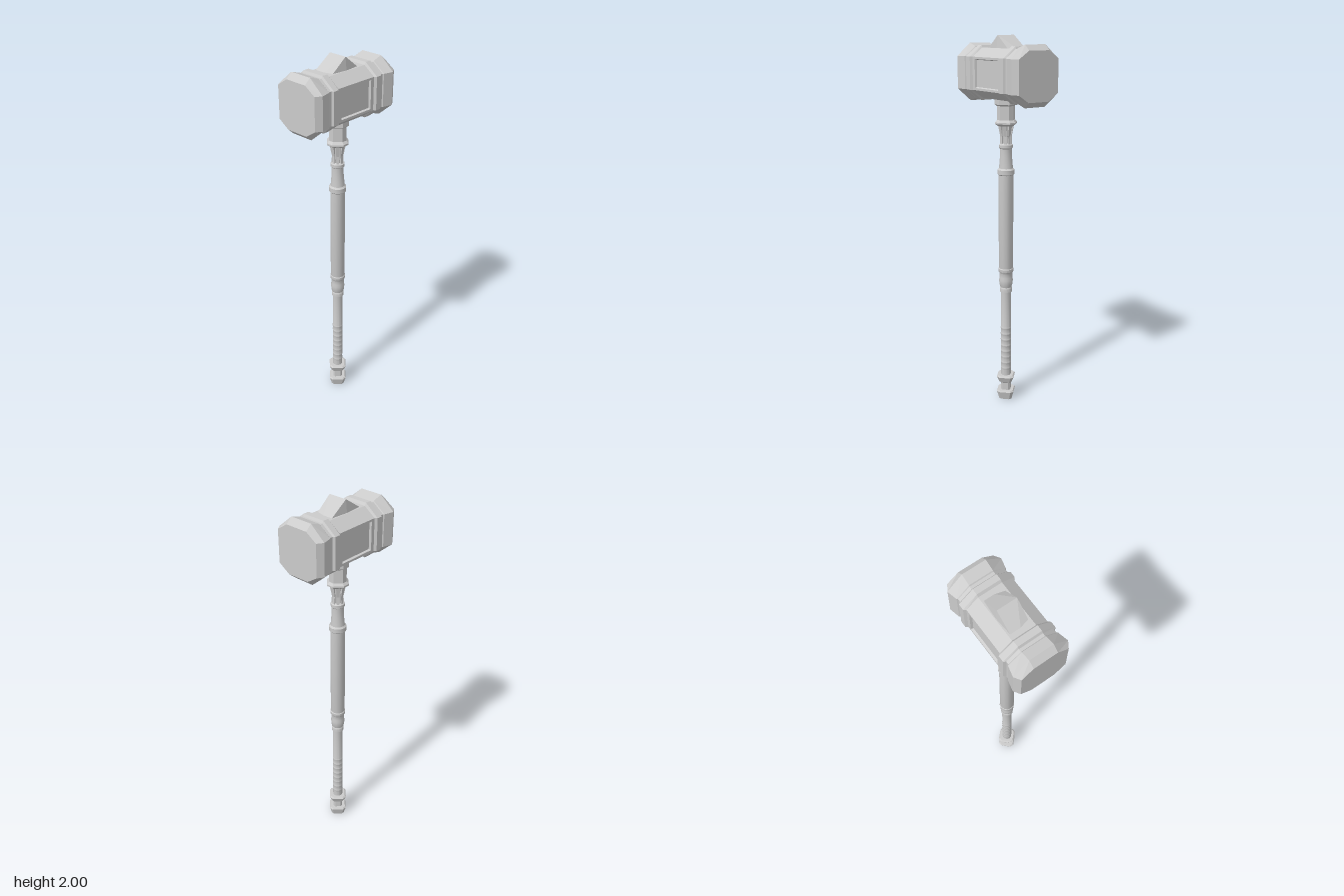
import * as THREE from 'three';
import { toCreasedNormals } from 'three/addons/utils/BufferGeometryUtils.js';
import { ConvexGeometry } from 'three/addons/geometries/ConvexGeometry.js';

const flat = new THREE.MeshStandardMaterial({ color: 0xcccccc, flatShading: true });
const smooth = new THREE.MeshStandardMaterial({ color: 0xcccccc });

// Octagon reaching w and h, with flats of half-length a (top) and b (sides)
const octagon = (w, h, a, b) => [
  [w, -b], [w, b], [a, h], [-a, h], [-w, b], [-w, -b], [-a, -h], [a, -h]];
const rect = (w, h) => [[w, -h], [w, h], [-w, h], [-w, -h]];

// Skin between matching outlines stacked along z; skip leaves sides open
function loft(sections, { skip = [], start = true, end = true } = {}) {
  const pos = [];
  const tri = (...p) => p.forEach(v => pos.push(...v));
  const rings = sections.map(([z, pts]) => pts.map(([x, y]) => [x, y, z]));
  const n = rings[0].length;
  for (let k = 0; k < rings.length - 1; k++) {
    for (let i = 0; i < n; i++) {
      if (skip.includes(i)) continue;
      const j = (i + 1) % n, a = rings[k], b = rings[k + 1];
      tri(a[i], a[j], b[j]);
      tri(a[i], b[j], b[i]);
    }
  }
  const first = rings[0], last = rings[rings.length - 1];
  for (let i = 1; i < n - 1; i++) {
    if (start) tri(first[0], first[i + 1], first[i]);
    if (end) tri(last[0], last[i], last[i + 1]);
  }
  const g = new THREE.BufferGeometry();
  g.setAttribute('position', new THREE.Float32BufferAttribute(pos, 3));
  g.computeVertexNormals();
  return g;
}

function add(parent, name, geometry, material = flat) {
  const mesh = new THREE.Mesh(geometry, material);
  mesh.name = name;
  parent.add(mesh);
  return mesh;
}

function buildHead() {
  const head = new THREE.Group();
  head.name = 'head';
  const ring = ([z, w, h]) => [z, octagon(w, h, 0.06, 0.082)];

  // Barrel, left open where the side panels sit
  add(head, 'barrel', loft([[-0.122, 0.121, 0.125], [0.122, 0.121, 0.125]].map(ring),
    { skip: [0, 4], start: false, end: false }));

  // Each end: raised band, groove and flared striking face
  const endProfile = [
    [0.119, 0.121, 0.125], [0.128, 0.132, 0.137], [0.158, 0.132, 0.137],
    [0.165, 0.121, 0.126], [0.18, 0.121, 0.126], [0.184, 0.126, 0.131],
    [0.235, 0.138, 0.147], [0.266, 0.118, 0.12]];
  for (const s of [1, -1]) {
    const end = add(head, s > 0 ? 'frontStrikingEnd' : 'backStrikingEnd',
      loft(endProfile.map(ring)));
    if (s < 0) end.rotation.y = Math.PI;

    // Framed panel sunk into the side
    const panel = add(head, s > 0 ? 'leftPanel' : 'rightPanel', loft([
      [0.121, rect(0.122, 0.082)], [0.121, rect(0.1, 0.071)],
      [0.11, rect(0.096, 0.067)]], { start: false }));
    panel.rotation.y = s * Math.PI / 2;
  }

  // Wedge crest on top
  const crest = [];
  for (const s of [1, -1]) {
    crest.push([s * 0.05, 0.1875, 0], [s * 0.057, 0.122, 0],
      [-0.05, 0.122, s * 0.097], [0, 0.122, s * 0.097], [0.048, 0.122, s * 0.084]);
  }
  add(head, 'crest', new ConvexGeometry(crest.map(p => new THREE.Vector3(...p))));
  head.position.y = 1.8125;
  return head;
}

function buildHandle() {
  const handle = new THREE.Group();
  handle.name = 'handle';
  const turned = (name, profile) => {
    const g = new THREE.LatheGeometry(profile.map(([r, y]) => new THREE.Vector2(r, y)), 12);
    return add(handle, name, toCreasedNormals(g, 0.6), smooth);
  };
  // Diamond-shaped pieces with cut corners, standing upright
  const faceted = (name, profile, cut) =>
    add(handle, name, loft(profile.map(([r, y]) => [y, octagon(r, r, r * cut, r * cut)]))
      .rotateX(-Math.PI / 2));

  // Lower grip with fine wrap ridges
  const grip = [[0, 0.13], [0.028, 0.13]];
  for (let y = 0.18; y < 0.43; y += 0.035) {
    grip.push([0.028, y], [0.0295, y + 0.004], [0.0295, y + 0.01], [0.028, y + 0.014]);
  }
  grip.push([0.028, 0.655]);
  turned('lowerGrip', grip);

  turned('middleCollar', [[0.026, 0.648], [0.034, 0.648], [0.034, 0.668], [0.031, 0.674],
    [0.036, 0.69], [0.038, 0.715], [0.035, 0.73], [0.035, 0.755], [0.041, 0.765],
    [0.041, 0.78], [0.037, 0.785]]);
  turned('upperGrip', [[0.037, 0.78], [0.039, 0.79], [0.039, 1.298]]);
  turned('upperRing', [[0.037, 1.295], [0.045, 1.302], [0.045, 1.325], [0.037, 1.333]]);
  turned('upperShaft', [[0.037, 1.33], [0.031, 1.4], [0.031, 1.435], [0.036, 1.44],
    [0.036, 1.455], [0.024, 1.465], [0.02, 1.48]]);

  // Pommel
  faceted('pommel', [[0.042, 0], [0.056, 0.047], [0.05, 0.054]], 0.2);
  faceted('pommelNeck', [[0.03, 0.05], [0.03, 0.105]], 0.25);
  faceted('pommelCollar', [[0.03, 0.096], [0.041, 0.104], [0.056, 0.138], [0.048, 0.145]], 0.2);

  // Neck under the head, with ribs splaying up to the collar
  faceted('neckCore', [[0.022, 1.455], [0.03, 1.565]], 0.41);
  for (let i = 0; i < 4; i++) {
    const rib = add(handle, 'neckRib', loft([
      [1.455, rect(0.03, 0.006)], [1.5, rect(0.029, 0.007)], [1.565, rect(0.042, 0.01)],
    ]).rotateX(-Math.PI / 2));
    rib.rotation.y = i * Math.PI / 4;
  }
  faceted('neckCollar', [[0.042, 1.553], [0.057, 1.564], [0.057, 1.572], [0.046, 1.584]], 0.3);
  faceted('neckSocket', [[0.046, 1.58], [0.046, 1.66]], 0.3);
  faceted('headSeat', [[0.047, 1.655], [0.056, 1.662], [0.056, 1.695]], 0.35);
  return handle;
}

export function createModel() {
  const hammer = new THREE.Group();
  hammer.name = 'hammer';
  hammer.add(buildHead(), buildHandle());
  return hammer;
}
